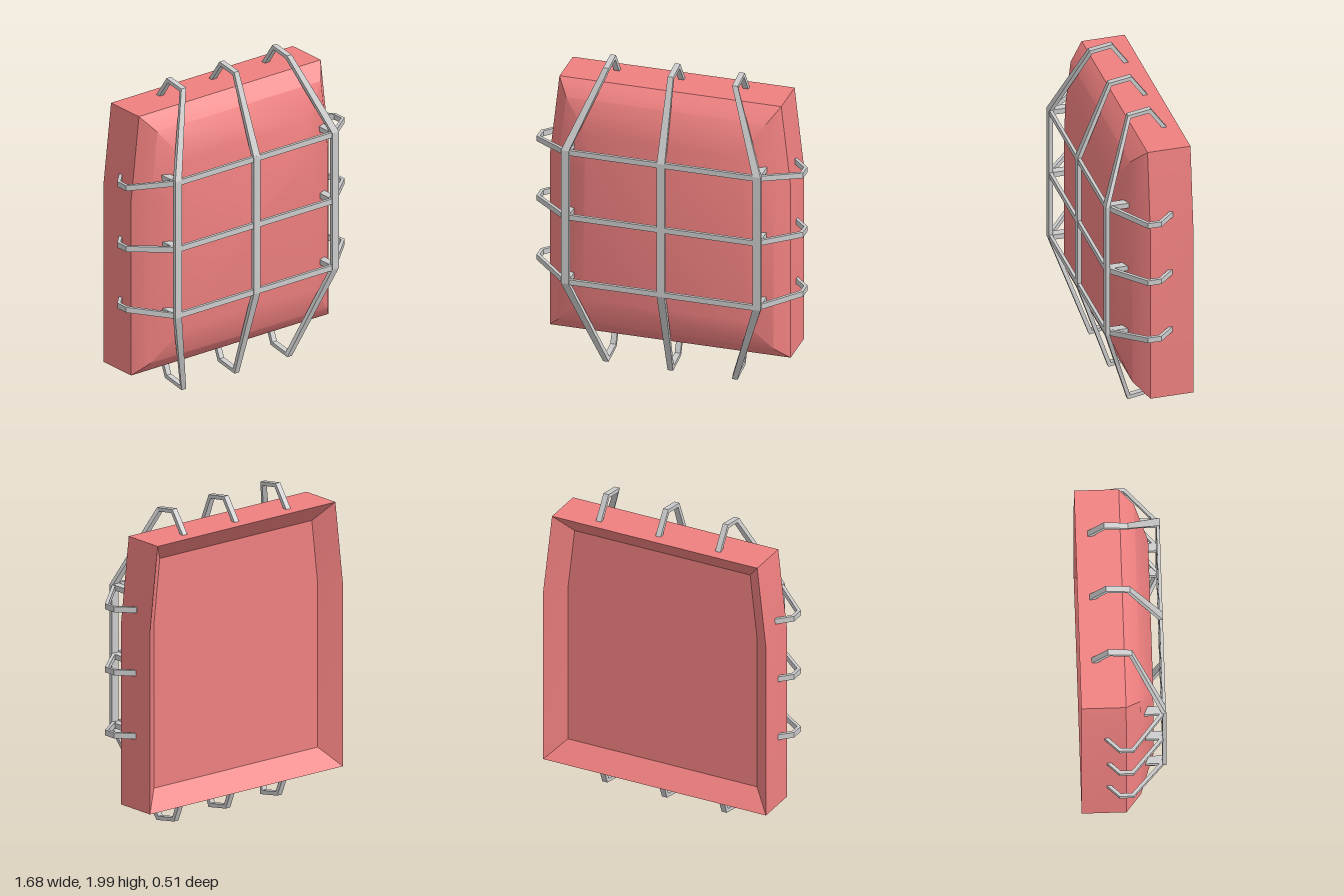
import * as THREE from 'three';
import { toCreasedNormals } from 'three/addons/utils/BufferGeometryUtils.js';

// Joins cross-sections (counter-clockwise, first one foremost) into a closed solid.
function loft(rings) {
  const n = rings[0].length, last = (rings.length - 1) * n, index = [];
  for (let r = 0; r < rings.length - 1; r++) {
    for (let i = 0; i < n; i++) {
      const a = r * n + i, a2 = r * n + (i + 1) % n;
      index.push(a, a + n, a2 + n, a, a2 + n, a2);
    }
  }
  for (let i = 1; i < n - 1; i++) {
    index.push(0, i, i + 1, last, last + i + 1, last + i);
  }
  const geo = new THREE.BufferGeometry();
  geo.setAttribute('position', new THREE.Float32BufferAttribute(rings.flat(2), 3));
  geo.setIndex(index);
  return geo;
}

// Flat bar bent along a path; its width stays along the given axis, corners are mitred.
function bentBar(path, axis, widths, thickness) {
  const pts = path.map(p => new THREE.Vector3(...p));
  const normals = pts.slice(1).map((p, i) => p.clone().sub(pts[i]).cross(axis).normalize());
  const rings = pts.map((p, i) => {
    const n1 = normals[Math.max(i - 1, 0)], n2 = normals[Math.min(i, normals.length - 1)];
    const normal = n1.clone().add(n2).divideScalar(1 + n1.dot(n2));
    return [[-1, -1], [1, -1], [1, 1], [-1, 1]].map(([u, v]) => p.clone()
      .addScaledVector(axis, u * widths[i] / 2)
      .addScaledVector(normal, v * thickness / 2).toArray());
  });
  return loft(rings.reverse());
}

// Pad outline at depth z, inset from the sides and from the ends; narrows above y = 1.33.
function padRing(z, insetX, insetY) {
  const bottom = 0.18 + insetY, top = 1.86 - insetY, cx = -0.01;
  const half = y => 0.76 - Math.max(0, y - 1.33) * 0.113 - insetX;
  return [[-1, bottom], [1, bottom], [1, 1.33], [1, top], [-1, top], [-1, 1.33]]
    .map(([s, y]) => [cx + s * half(y), y, z]);
}

export function createModel() {
  const model = new THREE.Group();
  model.name = 'cagedPad';
  const red = new THREE.MeshStandardMaterial({ color: 0xf08080 });
  const grey = new THREE.MeshStandardMaterial({ color: 0xcccccc, flatShading: true });
  const add = (name, geo, material, parent) => {
    if (!geo.getAttribute('normal')) geo.computeVertexNormals();
    const mesh = new THREE.Mesh(geo, material);
    mesh.name = name;
    parent.add(mesh);
    return mesh;
  };

  // Pad: domed front, straight sides, dished back
  const pad = loft([
    padRing(0.18, 0.26, 0.29),
    padRing(0.10, 0.08, 0.09),
    padRing(0.01, 0, 0),
    padRing(-0.26, 0, 0),
    padRing(-0.16, 0.115, 0.12),
  ]);
  add('pad', toCreasedNormals(pad, 0.6), red, model);

  const cage = new THREE.Group();
  cage.name = 'cage';
  model.add(cage);

  // Upright bars, hooked over the top and under the bottom of the pad
  const xAxis = new THREE.Vector3(1, 0, 0), yAxis = new THREE.Vector3(0, 1, 0);
  for (const s of [-1, 0, 1]) {
    const inner = s * 0.407 + 0.005, outer = s * 0.605 + 0.005;
    add('uprightBar', bentBar([
      [inner, 0.19, -0.155],
      [inner, 0.045, -0.095],
      [inner, 0.02, 0.05],
      [outer, 0.595, 0.243],
      [outer, 1.485, 0.243],
      [inner, 1.968, 0.047],
      [inner, 1.988, -0.083],
      [inner, 1.85, -0.18],
    ], xAxis, [0.035, 0.035, 0.035, 0.05, 0.05, 0.035, 0.035, 0.035], 0.024), grey, cage);
  }

  // Cross bars, hooked around both sides, with short struts back to the pad
  for (const [y, hookY] of [[0.605, 0.642], [1.04, 1.04], [1.475, 1.438]]) {
    const left = [
      [0.605, y, 0.243],
      [0.832, hookY, 0.047],
      [0.832, hookY, -0.03],
      [0.74, hookY, -0.125],
    ];
    const right = left.map(([x, py, z]) => [-x, py, z]).reverse();
    add('crossBar', bentBar([...right, ...left], yAxis, Array(8).fill(0.035), 0.02), grey, cage);
    for (const s of [-1, 1]) {
      const strut = add('strut', new THREE.BoxGeometry(0.05, 0.033, 0.16), grey, cage);
      strut.position.set(s * 0.603 + 0.004, y, 0.165);
    }
  }
  return model;
}
